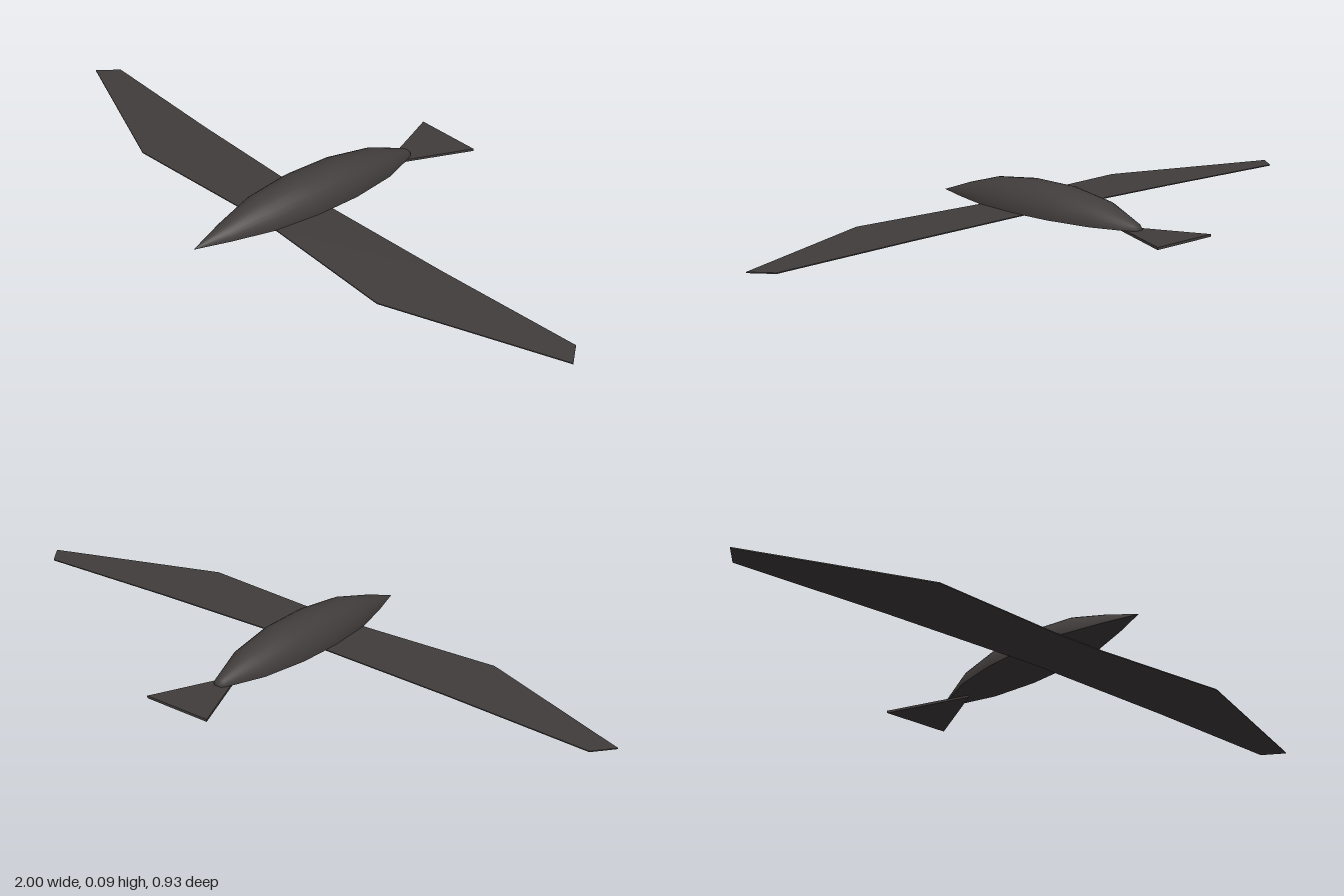
import * as THREE from 'three';

const plumage = new THREE.MeshStandardMaterial({ color: 0x413d3c, side: THREE.DoubleSide });
plumage.name = 'dark plumage';

// Half-width and position along the body, tail end to beak
const profile = [
  [0, -0.306], [0.013, -0.305], [0.02, -0.295], [0.062, -0.18], [0.083, -0.04],
  [0.085, 0.1], [0.07, 0.24], [0.036, 0.36], [0, 0.465],
];

const outline = (points) => new THREE.Shape(points.map(([x, z]) => new THREE.Vector2(x, z)));

// Outline given as x, z; laid flat with its top at the given height
function plate(name, points, top, depth) {
  const geometry = new THREE.ExtrudeGeometry(outline(points), { depth, bevelEnabled: false });
  geometry.rotateX(Math.PI / 2).translate(0, top, 0);
  const mesh = new THREE.Mesh(geometry, plumage);
  mesh.name = name;
  return mesh;
}

export function createModel() {
  const model = new THREE.Group();
  model.name = 'glidingBird';

  // Domed back: half of a lathe lying along z
  const dome = new THREE.LatheGeometry(
    profile.map(([r, z]) => new THREE.Vector2(r, z)), 16, Math.PI / 2, Math.PI);
  dome.rotateX(Math.PI / 2).translate(0, 0.006, 0);
  const back = new THREE.Mesh(dome, plumage);
  back.name = 'bodyBack';

  // Flat belly closing the dome
  const mirrored = profile.slice(1, -1).reverse().map(([r, z]) => [-r, z]);
  const belly = new THREE.Mesh(
    new THREE.ShapeGeometry(outline([...profile, ...mirrored])), plumage);
  belly.geometry.rotateX(Math.PI / 2).translate(0, 0.006, 0);
  belly.name = 'belly';
  model.add(back, belly);

  // Swept flat wings
  const wing = [[0, 0.055], [0, 0.24], [0.08, 0.24], [0.5, 0.265], [1, 0.077], [0.953, 0.017], [0.5, 0.04]];
  for (const [name, side] of [['leftWing', 1], ['rightWing', -1]]) {
    model.add(plate(name, wing.map(([x, z]) => [x * side, z]), 0.007, 0.003));
  }

  // Fanned tail
  model.add(plate('tail', [[0, -0.222], [0.105, -0.465], [-0.105, -0.465]], 0.007, 0.007));

  return model;
}
